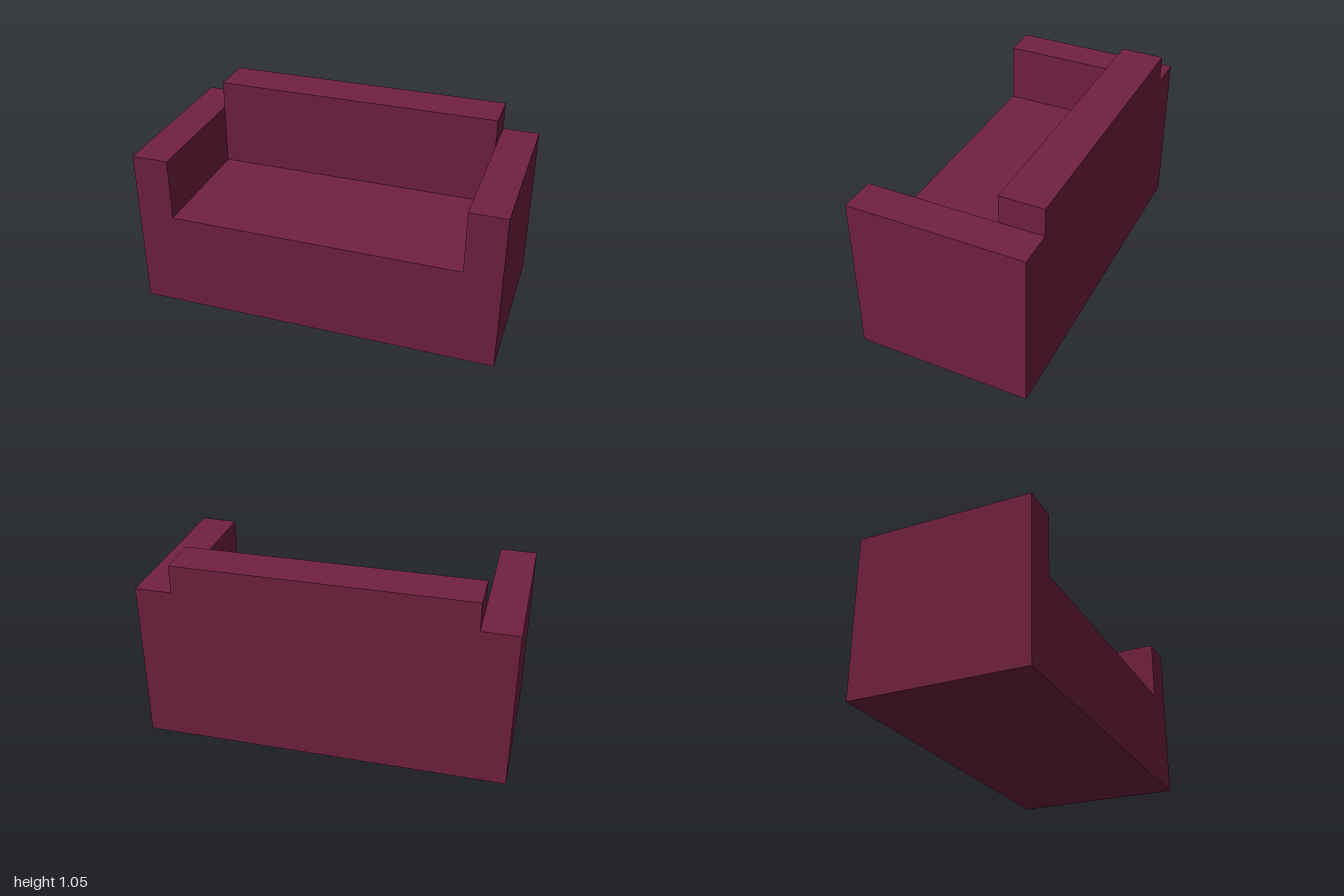
import * as THREE from 'three';

export function createModel() {
  const sofa = new THREE.Group();
  sofa.name = 'sofa';
  const fabric = new THREE.MeshStandardMaterial({ color: 0x722140 });
  fabric.name = 'burgundy fabric';

  const DEPTH = 0.96, ARM = 0.2, INNER = 1.6, SEAT_H = 0.55, ARM_H = 0.895, BACK_H = 1.05, BACK_D = 0.24;

  // Box whose underside sits at height y
  function block(name, w, h, d, x, y, z) {
    const mesh = new THREE.Mesh(new THREE.BoxGeometry(w, h, d), fabric);
    mesh.name = name;
    mesh.position.set(x, y + h / 2, z);
    sofa.add(mesh);
  }

  // Seat base between the arms
  block('seat', INNER, SEAT_H, DEPTH, 0, 0, 0);

  // Backrest standing on the rear of the seat
  block('backrest', INNER, BACK_H - SEAT_H, BACK_D, 0, SEAT_H, -(DEPTH - BACK_D) / 2);

  // Arms, mirrored
  for (const side of [1, -1]) {
    block(side > 0 ? 'leftArm' : 'rightArm', ARM, ARM_H, DEPTH, side * (INNER + ARM) / 2, 0, 0);
  }
  return sofa;
}
